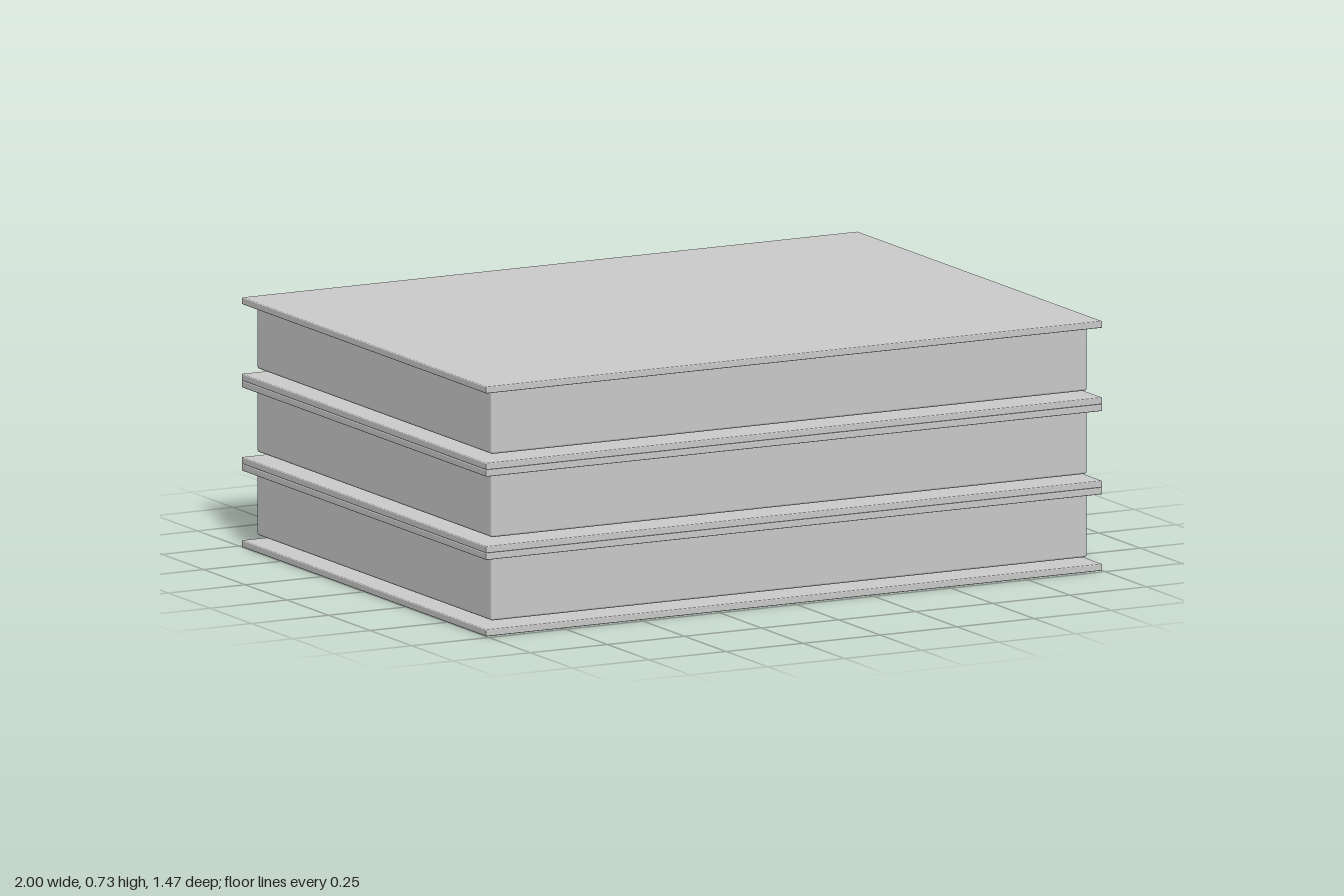
import * as THREE from 'three';
import { RoundedBoxGeometry } from 'three/addons/geometries/RoundedBoxGeometry.js';

const PITCH = 0.2425; // height of one layer of the stack
const COVER = 0.02; // cover thickness
const GAP = 0.017; // open slit between the bottom cover and the block

export function createModel() {
  const model = new THREE.Group();
  model.name = 'stack';
  const material = new THREE.MeshStandardMaterial({ color: 0xcccccc });

  // Softly rounded slab resting on height y
  const slab = (name, w, h, d, y, radius) => {
    const mesh = new THREE.Mesh(new RoundedBoxGeometry(w, h, d, 3, radius), material);
    mesh.name = name;
    mesh.position.y = y + h / 2;
    return mesh;
  };

  // Three identical layers: wide thin covers around an inset block
  for (let i = 0; i < 3; i++) {
    const layer = new THREE.Group();
    layer.name = `layer${i + 1}`;
    layer.position.y = i * PITCH;
    const blockHeight = PITCH - 2 * COVER - GAP;
    layer.add(
      slab('bottomCover', 2, COVER, 1.47, 0, 0.003),
      slab('block', 1.934, blockHeight, 1.41, COVER + GAP, 0.007),
      slab('topCover', 2, COVER, 1.47, PITCH - COVER, 0.003)
    );
    model.add(layer);
  }
  return model;
}
